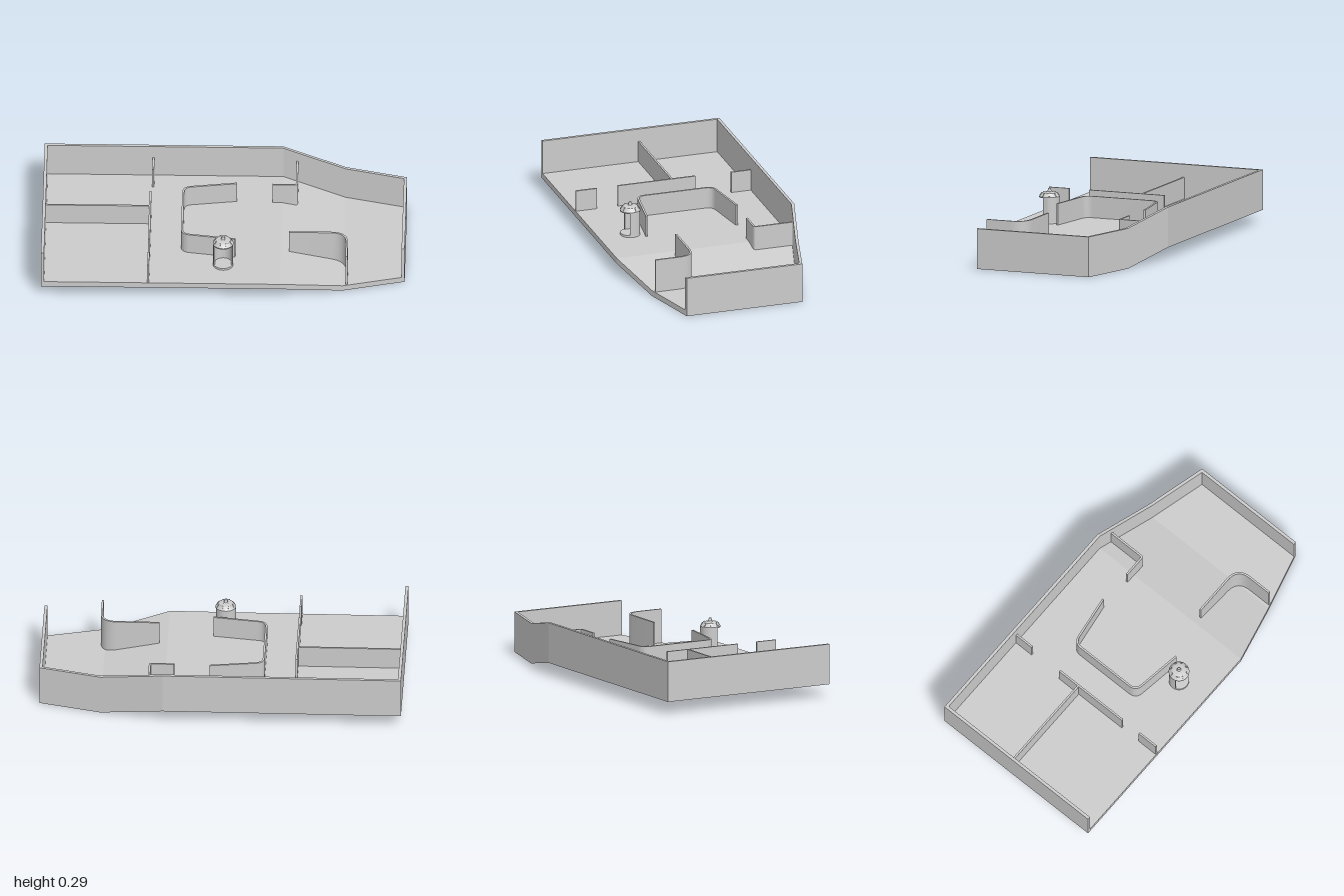
import * as THREE from 'three';
import { toCreasedNormals } from 'three/addons/utils/BufferGeometryUtils.js';

const material = new THREE.MeshStandardMaterial({ color: 0xcccccc });
const { clamp } = THREE.MathUtils;

// Hull rules: half width tapers toward +x, deck steps down along a ramp
const BEND = 0.315, RAMP_END = 0.66, WALL = 0.017, FLOOR = 0.032;
const half = x => 0.515 - 0.18 * clamp((x - BEND) / (1 - BEND), 0, 1);
const base = x => 0.07 * (1 - clamp((x - BEND) / (RAMP_END - BEND), 0, 1));
const deck = x => base(x) + FLOOR;
const rim = x => base(x) + 0.225;

function addMesh(group, name, geometry) {
  const mesh = new THREE.Mesh(geometry, material);
  mesh.name = name;
  group.add(mesh);
  return mesh;
}

// Closed solid through four-cornered sections
function loft(sections, crease = 0.1) {
  const pos = [];
  const quad = (a, b, c, d) => pos.push(...a, ...b, ...c, ...a, ...c, ...d);
  for (let i = 0; i < sections.length - 1; i++) {
    const s = sections[i], n = sections[i + 1];
    for (let k = 0; k < 4; k++) quad(s[k], n[k], n[(k + 1) % 4], s[(k + 1) % 4]);
  }
  quad(...sections[0]);
  quad(...[...sections[sections.length - 1]].reverse());
  const g = new THREE.BufferGeometry();
  g.setAttribute('position', new THREE.Float32BufferAttribute(pos, 3));
  return toCreasedNormals(g, crease);
}

// Slab between z limits and y limits that vary with x
function slab(xs, z0, z1, y0, y1) {
  return loft(xs.map(x => [
    [x, y0(x), z0(x)], [x, y0(x), z1(x)], [x, y1(x), z1(x)], [x, y1(x), z0(x)],
  ]));
}

// Upright strip following a plan path of [x, z] points
function ribbon(path, bottom, top, t) {
  return loft(path.map(([x, z], i) => {
    const p = path[Math.max(i - 1, 0)], n = path[Math.min(i + 1, path.length - 1)];
    const dx = n[0] - p[0], dz = n[1] - p[1], l = Math.hypot(dx, dz);
    const ox = -dz / l * t / 2, oz = dx / l * t / 2, y = bottom(x);
    return [[x - ox, y, z - oz], [x + ox, y, z + oz], [x + ox, top, z + oz], [x - ox, top, z - oz]];
  }), 0.35);
}

// Plan path with every inner corner rounded
function rounded(points, r) {
  const out = [points[0]];
  for (let i = 1; i < points.length - 1; i++) {
    const c = new THREE.Vector2(...points[i]);
    const [a, b] = [points[i - 1], points[i + 1]].map(q =>
      new THREE.Vector2(...q).sub(c).setLength(r).add(c));
    const curve = new THREE.QuadraticBezierCurve(a, c, b);
    out.push(...curve.getPoints(10).map(v => [v.x, v.y]));
  }
  out.push(points[points.length - 1]);
  return out;
}

export function createModel() {
  const model = new THREE.Group();
  model.name = 'deckSection';

  // Hull: floor, back wall and two end walls, open toward the front
  const hull = new THREE.Group();
  hull.name = 'hull';
  model.add(hull);
  addMesh(hull, 'floor', slab([-1, BEND, RAMP_END, 1], x => -half(x), half, base, deck));
  addMesh(hull, 'backWall', slab([-1 + WALL, BEND, RAMP_END, 1 - WALL],
    x => -half(x), x => -half(x) + WALL, deck, rim));
  addMesh(hull, 'rightEndWall', slab([-1, -1 + WALL], x => -half(x), half, deck, rim));
  addMesh(hull, 'leftEndWall', slab([1 - WALL, 1], x => -half(x), half, deck, rim));

  // Interior partitions
  const partitions = new THREE.Group();
  partitions.name = 'partitions';
  model.add(partitions);
  const plans = {
    cabinDivider: [[-0.984, -0.045], [-0.414, -0.045]],
    cabinWall: [[-0.41, -0.18], [-0.41, 0.27]],
    cabinWallFront: [[-0.41, 0.39], [-0.41, 0.512]],
    cabinWallBack: [[-0.4, -0.5], [-0.4, -0.385]],
    centralScreen: rounded([[0.065, -0.265], [-0.23, -0.222], [-0.23, 0.215], [0.065, 0.258]], 0.045),
    backCorner: [[0.26, -0.258], [BEND, -0.258],
      ...rounded([[0.33, -0.258], [0.394, -0.258], [0.394, -0.478]], 0.012)],
    frontCurve: rounded([[0.36, 0.186], [0.681, 0.186], [0.681, 0.413]], 0.09),
  };
  for (const [name, path] of Object.entries(plans)) {
    addMesh(partitions, name, ribbon(path, x => deck(x) - 0.004, 0.222, 0.011));
  }

  // Round booth: base plate, curved shell open to the front, ribbed cap
  const booth = new THREE.Group();
  booth.name = 'booth';
  booth.position.set(0, 0.1, 0.333);
  model.add(booth);
  addMesh(booth, 'boothBase', new THREE.CylinderGeometry(0.055, 0.056, 0.012, 32)).position.y = 0.007;
  const arc = Array.from({ length: 25 }, (_, i) => {
    const a = 0.34 - (Math.PI + 0.68) * i / 24;
    return [0.051 * Math.cos(a), 0.051 * Math.sin(a)];
  });
  addMesh(booth, 'boothShell', ribbon(arc, () => 0.01, 0.148, 0.008));
  const profile = [[0, 0.143], [0.057, 0.143], [0.057, 0.149], [0.052, 0.152], [0.042, 0.168],
    [0.036, 0.171], [0.016, 0.172], [0.011, 0.176], [0.007, 0.193], [0, 0.194]];
  const cap = new THREE.LatheGeometry(profile.map(p => new THREE.Vector2(...p)), 32);
  addMesh(booth, 'boothCap', toCreasedNormals(cap, 0.5));
  for (let i = 0; i < 8; i++) {
    const spoke = new THREE.Group();
    spoke.name = 'capRib';
    spoke.rotation.y = (i + 0.5) * Math.PI / 4;
    const rib = addMesh(spoke, 'rib', new THREE.BoxGeometry(0.02, 0.006, 0.007));
    rib.position.set(0.046, 0.161, 0);
    rib.rotation.z = -1;
    booth.add(spoke);
  }
  return model;
}
